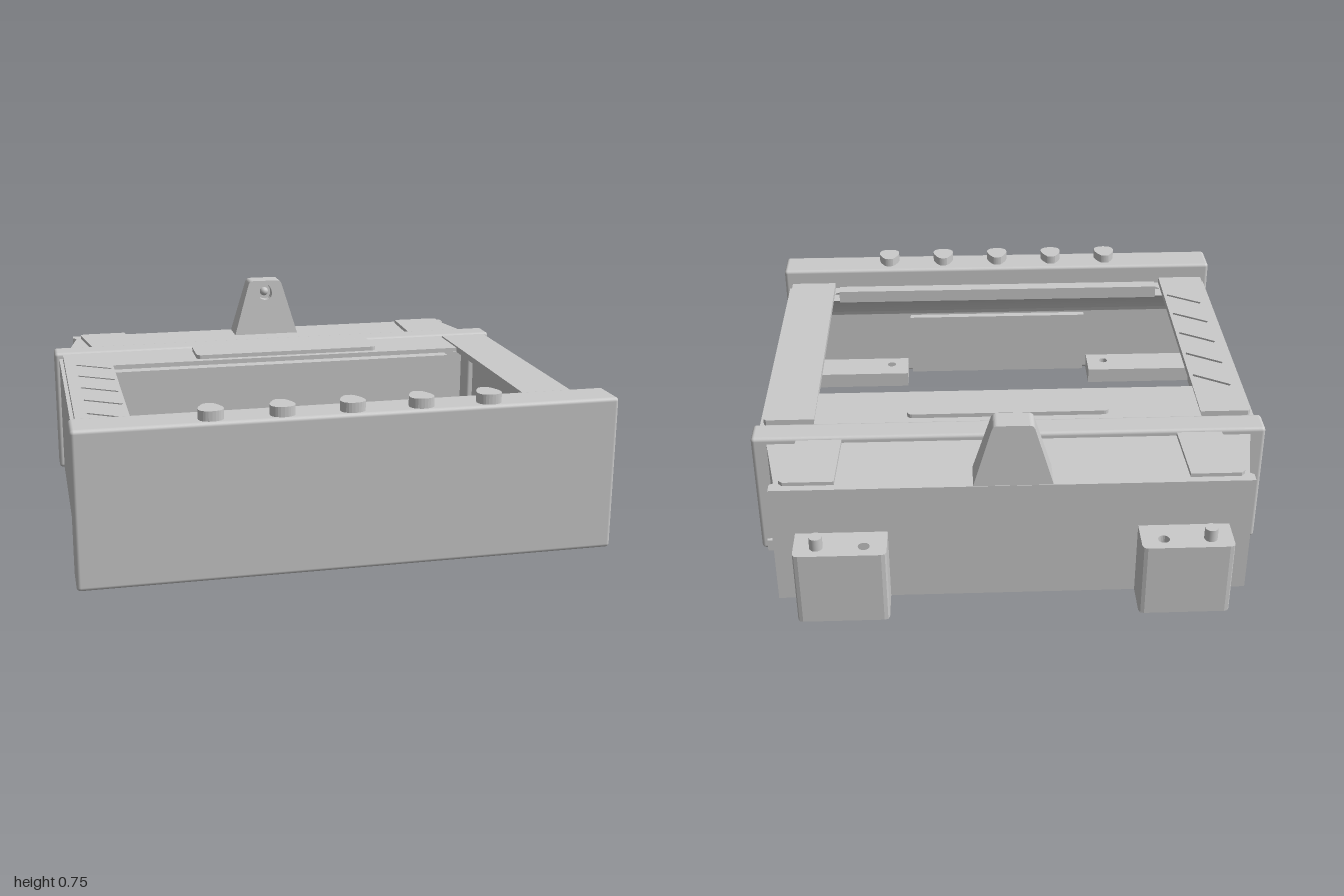
import * as THREE from 'three';
import { RoundedBoxGeometry } from 'three/addons/geometries/RoundedBoxGeometry.js';

export function createModel() {
  const model = new THREE.Group();
  model.name = 'hollowFrame';
  const grey = new THREE.MeshStandardMaterial({ color: 0xca_ca_ca });
  grey.name = 'light grey';

  const add = (name, geo) => {
    const mesh = new THREE.Mesh(geo, grey);
    mesh.name = name;
    model.add(mesh);
    return mesh;
  };
  // Box given by its limits, optionally with rounded edges
  const box = (name, x0, x1, y0, y1, z0, z1, r = 0) => {
    const s = [x1 - x0, y1 - y0, z1 - z0];
    const geo = r ? new RoundedBoxGeometry(...s, 3, r) : new THREE.BoxGeometry(...s);
    return add(name, geo.translate((x0 + x1) / 2, (y0 + y1) / 2, (z0 + z1) / 2));
  };
  const path = (pts, C = THREE.Path) => new C(pts.map(([x, z]) => new THREE.Vector2(x, -z)));
  const rect = (x0, x1, z0, z1) => [[x0, z0], [x1, z0], [x1, z1], [x0, z1]];
  const circle = (x, z, r) => Array.from({ length: 20 }, (_, i) => {
    const a = i / 20 * Math.PI * 2;
    return [x + r * Math.cos(a), z + r * Math.sin(a)];
  });
  // Rectangle with rounded corners, in plan
  const roundRect = (x0, x1, z0, z1, r) => {
    const pts = [];
    [[x1 - r, z1 - r], [x0 + r, z1 - r], [x0 + r, z0 + r], [x1 - r, z0 + r]].forEach(([cx, cz], q) => {
      for (let i = 0; i <= 4; i++) {
        const a = (q + i / 4) * Math.PI / 2;
        pts.push([cx + r * Math.cos(a), cz + r * Math.sin(a)]);
      }
    });
    return pts;
  };
  // Plan outline (x, z) raised from y0 to y1, with holes
  const slab = (name, pts, y0, y1, holes = []) => {
    const shape = path(pts, THREE.Shape);
    shape.holes = holes.map(h => path(h));
    const geo = new THREE.ExtrudeGeometry(shape, { depth: y1 - y0, bevelEnabled: false });
    return add(name, geo.rotateX(-Math.PI / 2).translate(0, y0, 0));
  };
  const mirror = pts => pts.map(([x, z]) => [-x, z]);
  const span = (s, a, b) => s > 0 ? [a, b] : [-b, -a];

  // Front cover: face and top lip
  box('frontFace', -1, 1, 0, 0.59, 0.9, 0.98, 0.015);
  box('frontTopLip', -1, 1, 0.46, 0.59, 0.825, 0.98, 0.015);
  box('frontInnerPanel', -0.42, 0.42, 0.01, 0.31, 0.87, 0.905);
  box('frontInnerLip', -0.745, 0.745, 0.45, 0.505, 0.77, 0.83);

  // Curved fillet from the front face up to the lip
  const fillet = new THREE.Shape();
  fillet.moveTo(-0.905, 0.3);
  fillet.quadraticCurveTo(-0.875, 0.42, -0.775, 0.455);
  fillet.lineTo(-0.905, 0.455);
  add('frontFillet', new THREE.ExtrudeGeometry(fillet, { depth: 1.86, bevelEnabled: false })
    .rotateY(Math.PI / 2).translate(-0.93, 0, 0));

  // Row of teardrop buttons
  for (let i = -2; i <= 2; i++) {
    const x = i * 0.255, s = new THREE.Shape();
    s.moveTo(x - 0.018, -0.865);
    s.bezierCurveTo(x - 0.06, -0.92, x - 0.055, -0.968, x, -0.968);
    s.bezierCurveTo(x + 0.055, -0.968, x + 0.06, -0.92, x + 0.018, -0.865);
    s.quadraticCurveTo(x, -0.858, x - 0.018, -0.865);
    const geo = new THREE.ExtrudeGeometry(s, { depth: 0.042, bevelEnabled: false });
    add('button', geo.rotateX(-Math.PI / 2).translate(0, 0.585, 0));
  }

  // Deck round the large opening
  slab('deck', rect(-0.98, 0.98, -0.42, 0.83), 0.45, 0.5, [roundRect(-0.765, 0.765, -0.18, 0.77, 0.02)]);
  box('rearDeckStrip', -0.765, 0.765, 0.499, 0.518, -0.42, -0.18);
  box('rearDeckLedge', -0.765, 0.765, 0.4, 0.455, -0.51, -0.3);
  slab('labelPlate', roundRect(-0.4, 0.4, -0.385, -0.21, 0.02), 0.51, 0.535);

  // Rear band
  box('bandTop', -1, 1, 0.45, 0.525, -0.525, -0.415, 0.015);
  box('bandFoot', 0.93, 0.975, 0, 0.05, -0.54, -0.52);

  // Rear body: tapered shell with a flange
  const half = [[0.94, -0.52], [0.885, -0.79], [0.9, -0.8], [0.9, -0.84]];
  const outer = [...half, ...mirror(half).reverse()];
  const inner = [[-0.89, -0.53], [-0.845, -0.79], [0.845, -0.79], [0.89, -0.53]];
  slab('rearShell', [...outer, ...inner], 0, 0.46);
  slab('rearRoof', outer, 0.455, 0.5);
  box('innerBackWall', -0.93, 0.93, 0, 0.46, -0.52, -0.5);

  // Rear underside with closed recesses
  const under = [[0.895, -0.51], [0.85, -0.8], [-0.85, -0.8], [-0.895, -0.51]];
  slab('underside', under, 0, 0.1, [
    rect(-0.2, 0, -0.68, -0.56), rect(0.3, 0.62, -0.78, -0.68), rect(-0.62, -0.3, -0.78, -0.68),
  ]);
  slab('recessCeiling', under, 0.1, 0.11);

  // Floor plate with tabs reaching forward
  slab('floorPlate', [
    [0.96, -0.505], [0.96, -0.05], [0.67, -0.05], [0.67, -0.43], [0.58, -0.43], [0.58, -0.18],
    [0.34, -0.18], [0.34, -0.43], [-0.34, -0.43], [-0.34, -0.18], [-0.58, -0.18], [-0.58, -0.43],
    [-0.67, -0.43], [-0.67, -0.2], [-0.96, -0.2], [-0.96, -0.505],
  ], 0, 0.03, [
    rect(0.7, 0.9, -0.36, -0.11), circle(0.45, -0.23, 0.02), circle(-0.45, -0.23, 0.02),
  ]);

  for (const s of [1, -1]) {
    const side = pts => s > 0 ? pts : mirror(pts);
    const B = (name, a, b, ...rest) => box(name, ...span(s, a, b), ...rest);
    B('frontEnd', 0.92, 1, 0, 0.59, 0.825, 0.98, 0.015);
    B('sideWall', 0.93, 0.98, 0, 0.5, -0.42, 0.83);
    B('bandColumn', 0.9, 1, 0, 0.525, -0.525, -0.415, 0.015);

    // Side deck plates with slanted slots
    const slots = [];
    for (let i = 0; i < 5; i++) {
      const z = -0.145 + i * 0.185;
      slots.push(side([[0.775, z + 0.038], [0.917, z - 0.05], [0.924, z - 0.038], [0.782, z + 0.05]]));
    }
    slab('sideDeckPlate', side([[0.765, -0.39], [0.955, -0.39], [0.965, -0.38], [0.965, 0.83], [0.765, 0.83]]),
      0.499, 0.525, slots);

    // Raised pads on the rear roof
    slab('roofPad', side([[0.65, -0.525], [0.66, -0.81], [0.85, -0.81], [0.865, -0.795], [0.825, -0.525]]), 0.499, 0.515);

    // Floor pads inside the front corners and behind the opening
    slab('frontFloorPad', side(rect(0.44, 0.95, 0.75, 0.91)), 0, 0.07, [side(circle(0.52, 0.84, 0.02))]);
    slab('rearFloorPad', side(rect(0.34, 0.58, -0.5, -0.181)), 0.028, 0.07, [side(circle(0.45, -0.23, 0.02))]);

    // Hinge blocks with a peg and a hole
    slab('hingeBlock', side([
      [0.47, -0.835], [0.47, -0.965], [0.476, -0.979], [0.49, -0.983],
      [0.795, -0.983], [0.809, -0.979], [0.815, -0.965], [0.815, -0.835],
    ]), 0, 0.305, [side(circle(0.555, -0.928, 0.022))]);
    add('hingePeg', new THREE.CylinderGeometry(0.025, 0.025, 0.06, 24).translate(s * 0.73, 0.325, -0.928));
  }

  // Tapered lug: solid back layer and a pierced front layer
  const lug = (name, depth, z0, pierced) => {
    const s = new THREE.Shape();
    s.moveTo(-0.15, 0.495);
    s.lineTo(0.15, 0.495);
    s.lineTo(0.08, 0.73);
    s.quadraticCurveTo(0.074, 0.75, 0.058, 0.75);
    s.lineTo(-0.058, 0.75);
    s.quadraticCurveTo(-0.074, 0.75, -0.08, 0.73);
    if (pierced) {
      const h = new THREE.Path();
      h.moveTo(0, 0.742);
      h.bezierCurveTo(0.04, 0.718, 0.045, 0.662, 0, 0.66);
      h.bezierCurveTo(-0.045, 0.662, -0.04, 0.718, 0, 0.742);
      s.holes.push(h);
    }
    const geo = new THREE.ExtrudeGeometry(s, { depth, bevelEnabled: false }).translate(0, 0, z0);
    const p = geo.attributes.position;
    // Lean both faces inwards towards the top
    for (let i = 0; i < p.count; i++) {
      const t = (p.getY(i) - 0.495) / 0.255;
      p.setZ(i, p.getZ(i) + (p.getZ(i) > -0.8 ? -0.025 : 0.012) * t);
    }
    geo.computeVertexNormals();
    add(name, geo);
  };
  lug('lugBack', 0.085, -0.838, false);
  lug('lugFront', 0.043, -0.753, true);
  add('lugPin', new THREE.SphereGeometry(0.02, 16, 12).translate(0, 0.695, -0.765));

  // Cup and tube in the rear right corner, with posts along the wall
  const cup = [[0, 0], [0.085, 0], [0.1, 0.03], [0.1, 0.17], [0.085, 0.185], [0.028, 0.19], [0.028, 0.27], [0, 0.27]];
  add('cornerCup', new THREE.LatheGeometry(cup.map(p => new THREE.Vector2(...p)), 24).translate(-0.79, 0.01, -0.29));
  for (const z of [-0.05, 0.08]) {
    add('wallPost', new THREE.CylinderGeometry(0.018, 0.022, 0.44, 16).translate(-0.9, 0.235, z));
  }
  return model;
}
